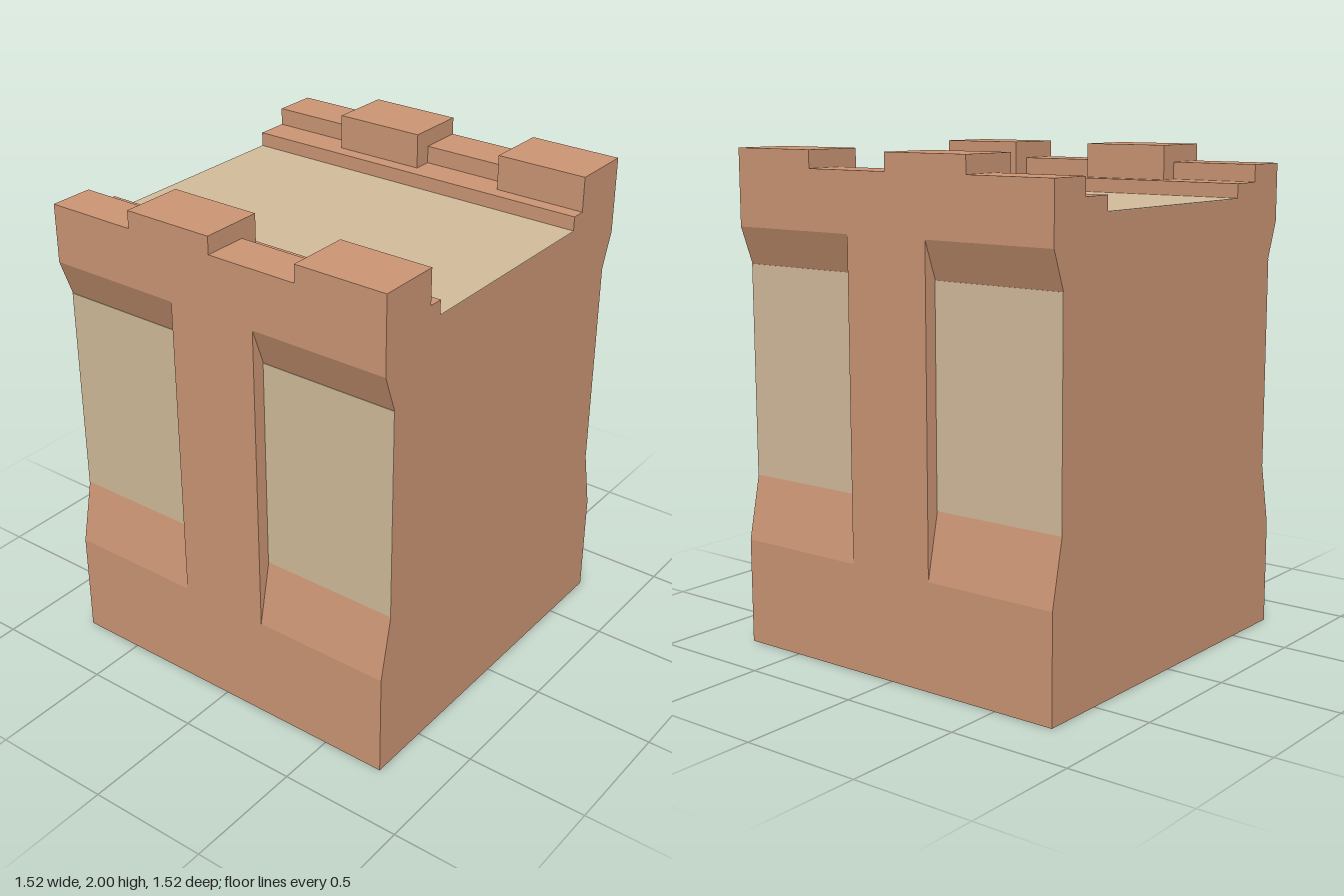
import * as THREE from 'three';

const W = 0.76;        // half width and half depth
const INSET = 0.705;   // half width at the recessed panels
const LEDGE = 1.86, FLOOR = 1.8;

export function createModel() {
  const group = new THREE.Group();
  const brick = new THREE.MeshStandardMaterial({ color: 0xcc9674 });
  brick.name = 'brick';
  const sand = new THREE.MeshStandardMaterial({ color: 0xd3bc9c });
  sand.name = 'sand';

  const add = (name, geometry, material) => {
    const mesh = new THREE.Mesh(geometry, material);
    mesh.name = name;
    group.add(mesh);
    return mesh;
  };
  const box = (name, material, x0, x1, y0, y1, z0, z1) =>
    add(name, new THREE.BoxGeometry(Math.abs(x1 - x0), y1 - y0, z1 - z0), material)
      .position.set((x0 + x1) / 2, (y0 + y1) / 2, (z0 + z1) / 2);
  // Extrudes an x-y outline along z, centred on z = 0
  const prism = (name, points, depth) => {
    const shape = new THREE.Shape(points.map(([x, y]) => new THREE.Vector2(x, y)));
    const geometry = new THREE.ExtrudeGeometry(shape, { depth, bevelEnabled: false });
    geometry.translate(0, 0, -depth / 2);
    return add(name, geometry, brick);
  };

  // Wall body with sunken sides and a lowered walkway
  const half = [[W, 0], [W, 0.43], [INSET, 0.69], [INSET, 1.545], [W, 1.695],
    [W, LEDGE], [0.447, LEDGE], [0.447, FLOOR]];
  const mirrored = half.map(([x, y]) => [-x, y]).reverse();
  prism('wallBody', [...half, ...mirrored], 2 * W);

  // Walkway surface
  box('walkway', sand, -0.447, 0.447, FLOOR, FLOOR + 0.003, -W, W);

  for (const [side, s] of [['left', 1], ['right', -1]]) {
    // Pilaster filling the middle of the recess
    prism(side + 'Pilaster', [[W, 0.43], [W, 1.695], [INSET, 1.545], [INSET, 0.69]]
      .map(([x, y]) => [s * x, y]), 0.38);

    // Plaster panels on both sides of the pilaster
    for (const [z0, z1] of [[-W, -0.19], [0.19, W]]) {
      box(side + 'Panel', sand, s * INSET, s * (INSET + 0.002), 0.69, 1.545, z0, z1);
    }

    // Battlements: tall wide blocks alternating with low narrow ones
    for (let i = 0; i < 4; i++) {
      const z0 = -W + i * W / 2;
      const tall = i % 2 === 1;
      box(side + (tall ? 'Merlon' : 'Crenel'), brick, s * (tall ? 0.505 : 0.58), s * W,
        LEDGE, tall ? 2 : 1.93, z0, z0 + W / 2);
    }
  }
  return group;
}
